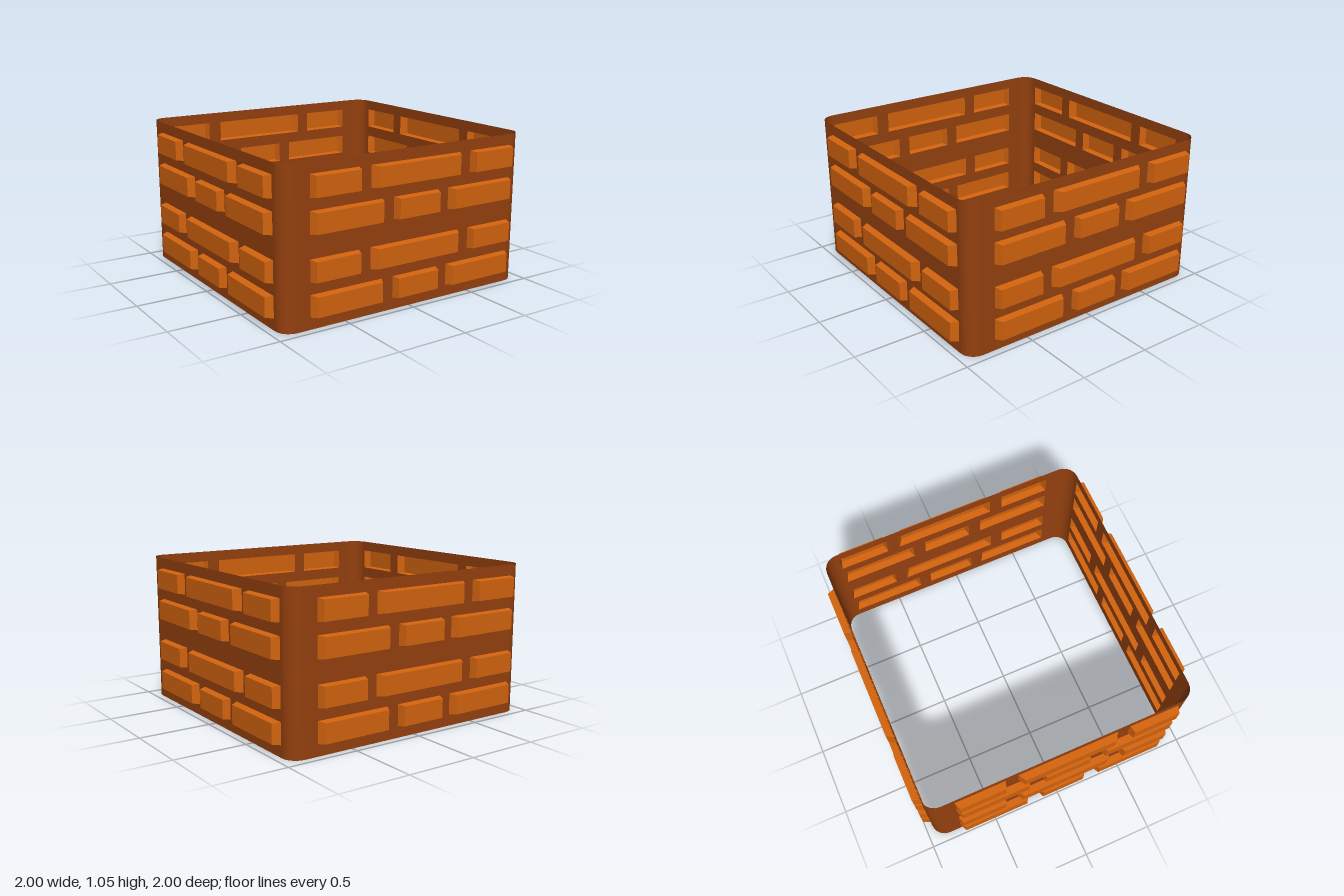
import * as THREE from 'three';

const HALF = 0.95;    // distance of each wall from the centre
const RADIUS = 0.1;   // rounded corner
const HEIGHT = 1.05;
const DEPTH = 0.05;   // how far bricks stand out
const TAPER = 0.91;   // front face size relative to the base

// Brick spans [x0, x1] for the two alternating courses
const courseA = [[-0.757, -0.225], [-0.137, 0.217], [0.305, 0.84]];
const courseB = [[-0.757, -0.403], [-0.313, 0.398], [0.486, 0.84]];
const courses = [
  { y0: 0.08, y1: 0.225, spans: courseA },
  { y0: 0.305, y1: 0.45, spans: courseB },
  { y0: 0.605, y1: 0.75, spans: courseA },
  { y0: 0.83, y1: 0.975, spans: courseB },
];

// Tapered box, hollow and open at the back
function brickGeometry(w, h) {
  const g = new THREE.BoxGeometry(w, h, DEPTH);
  const p = g.attributes.position;
  for (let i = 0; i < p.count; i++) {
    if (p.getZ(i) > 0) p.setXY(i, p.getX(i) * TAPER, p.getY(i) * TAPER);
  }
  g.setIndex(Array.from(g.index.array).slice(0, 30));
  g.clearGroups();
  g.computeVertexNormals();
  return g;
}

// Flat wall sheet with an opening behind every brick
function wallGeometry() {
  const e = HALF - RADIUS;
  const shape = new THREE.Shape();
  shape.moveTo(-e, 0).lineTo(e, 0).lineTo(e, HEIGHT).lineTo(-e, HEIGHT).closePath();
  for (const { y0, y1, spans } of courses) {
    for (const [x0, x1] of spans) {
      const hole = new THREE.Path();
      hole.moveTo(x0, y0).lineTo(x0, y1).lineTo(x1, y1).lineTo(x1, y0).closePath();
      shape.holes.push(hole);
    }
  }
  return new THREE.ShapeGeometry(shape);
}

export function createModel() {
  const model = new THREE.Group();
  model.name = 'brickEnclosure';

  const wallMat = new THREE.MeshStandardMaterial({ color: 0x94400e, side: THREE.DoubleSide });
  wallMat.name = 'dark brown mortar';
  const brickMat = new THREE.MeshStandardMaterial({ color: 0xd2630e, side: THREE.DoubleSide });
  brickMat.name = 'orange brick';

  const wallGeo = wallGeometry();
  const cornerGeo = new THREE.CylinderGeometry(RADIUS, RADIUS, HEIGHT, 5, 1, true, 0, Math.PI / 2);

  // Four identical sides turned about the vertical axis
  for (let s = 0; s < 4; s++) {
    const side = new THREE.Group();
    side.name = ['front', 'left', 'back', 'right'][s] + 'Side';
    side.rotation.y = s * Math.PI / 2;

    const wall = new THREE.Mesh(wallGeo, wallMat);
    wall.name = 'wall';
    wall.position.z = HALF;
    side.add(wall);

    const corner = new THREE.Mesh(cornerGeo, wallMat);
    corner.name = 'roundedCorner';
    corner.position.set(HALF - RADIUS, HEIGHT / 2, HALF - RADIUS);
    side.add(corner);

    for (const { y0, y1, spans } of courses) {
      for (const [x0, x1] of spans) {
        const brick = new THREE.Mesh(brickGeometry(x1 - x0, y1 - y0), brickMat);
        brick.name = 'brick';
        brick.position.set((x0 + x1) / 2, (y0 + y1) / 2, HALF + DEPTH / 2);
        side.add(brick);
      }
    }
    model.add(side);
  }
  return model;
}
